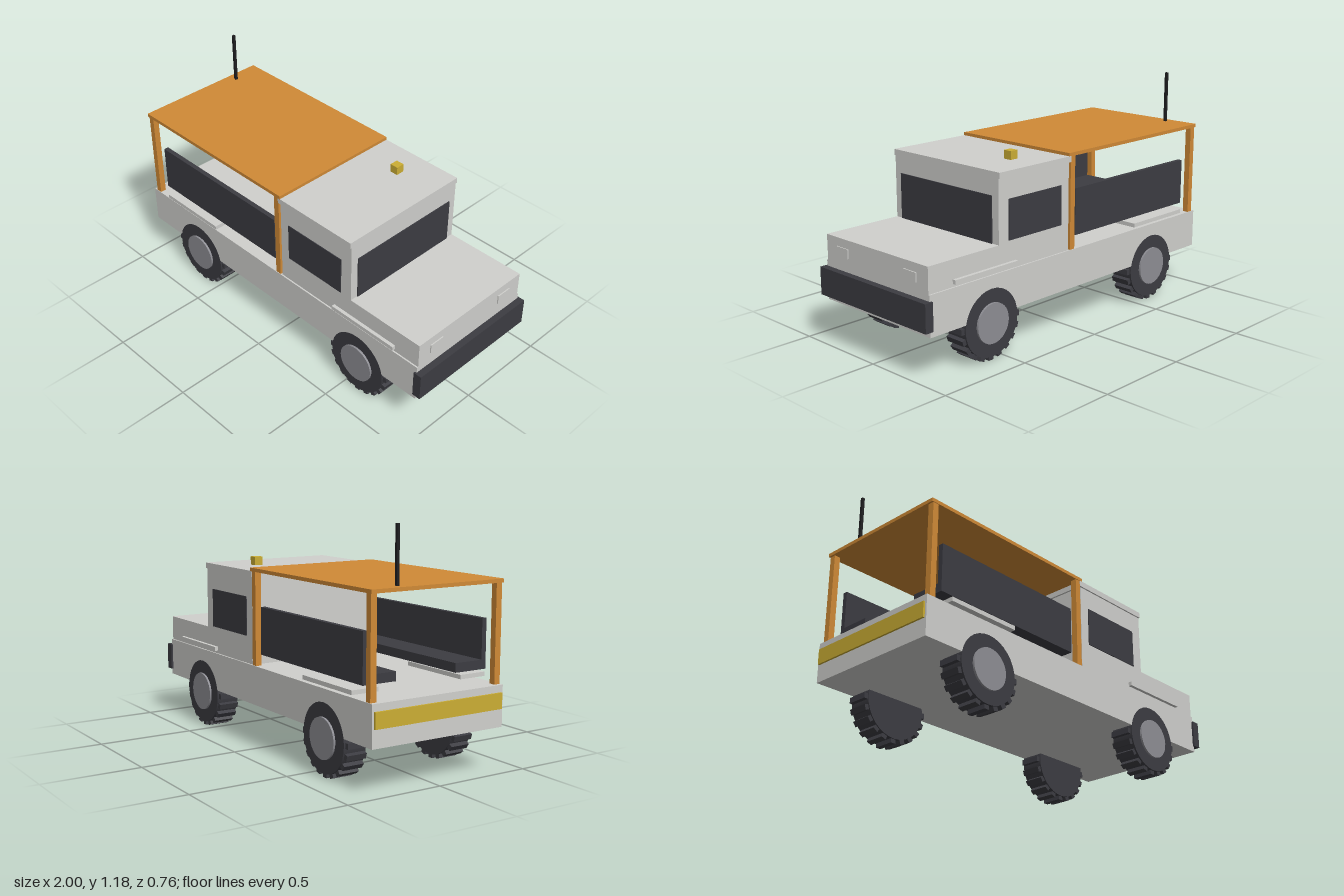
import * as THREE from 'three';

function paint(name, color) {
  const m = new THREE.MeshStandardMaterial({ color });
  m.name = name;
  return m;
}

export function createModel() {
  const truck = new THREE.Group();
  truck.name = 'safariTruck';

  const grey = paint('body grey', 0xd0d0cd);
  const orange = paint('canopy orange', 0xd08a36);
  const dark = paint('dark charcoal', 0x3c3c42);
  const rimGrey = paint('rim grey', 0x8e8e94);
  const yellow = paint('yellow', 0xccae34);
  const black = paint('antenna black', 0x1e1e20);

  // Box given by its extents on each axis
  function box(name, mat, x, y, z, parent = truck) {
    const mesh = new THREE.Mesh(
      new THREE.BoxGeometry(x[1] - x[0], y[1] - y[0], z[1] - z[0]), mat);
    mesh.position.set((x[0] + x[1]) / 2, (y[0] + y[1]) / 2, (z[0] + z[1]) / 2);
    mesh.name = name;
    parent.add(mesh);
    return mesh;
  }
  // Matching pair on both sides; z is given for the +z side
  function pair(name, mat, x, y, z) {
    box(name, mat, x, y, z);
    box(name, mat, x, y, [-z[1], -z[0]]);
  }

  // Body, hood and cab
  box('lowerBody', grey, [-0.99, 0.965], [0.22, 0.42], [-0.37, 0.37]);
  box('hood', grey, [0.53, 0.965], [0.42, 0.55], [-0.362, 0.362]);
  box('cab', grey, [0.05, 0.53], [0.42, 0.865], [-0.362, 0.362]);
  box('cabRoof', grey, [0.04, 0.53], [0.865, 0.895], [-0.37, 0.37]);

  // Windows
  box('windshield', dark, [0.529, 0.535], [0.55, 0.78], [-0.32, 0.32]);
  pair('sideWindow', dark, [0.105, 0.465], [0.56, 0.76], [0.36, 0.366]);

  // Bumper, lights and rear stripe
  box('frontBumper', dark, [0.955, 1], [0.25, 0.39], [-0.38, 0.38]);
  pair('headlight', grey, [0.964, 0.971], [0.46, 0.507], [0.2, 0.285]);
  box('rearStripe', yellow, [-1, -0.99], [0.308, 0.385], [-0.36, 0.36]);
  box('beacon', yellow, [0.263, 0.308], [0.895, 0.938], [-0.222, -0.177]);

  // Canopy and its posts
  box('canopy', orange, [-0.98, 0.055], [0.893, 0.911], [-0.37, 0.37]);
  for (const x of [-0.955, 0.025]) {
    pair('canopyPost', orange, [x - 0.016, x + 0.016], [0.42, 0.893], [0.335, 0.367]);
  }
  box('antenna', black, [-0.937, -0.923], [0.911, 1.18], [-0.207, -0.193]);

  // Facing benches in the open rear
  pair('benchSeat', dark, [-0.89, -0.015], [0.48, 0.525], [0.17, 0.335]);
  pair('benchBack', dark, [-0.89, -0.015], [0.48, 0.72], [0.325, 0.35]);

  // Fender plates above the wheels
  for (const x of [-0.65, 0.62]) {
    pair('fender', grey, [x - 0.2, x + 0.2], [0.435, 0.456], [0.235, 0.38]);
  }

  // Wheels, built with the outer face towards +z
  const tireGeo = new THREE.CylinderGeometry(0.168, 0.168, 0.121, 32).rotateX(Math.PI / 2);
  const rimGeo = new THREE.CylinderGeometry(0.1, 0.1, 0.03, 32).rotateX(Math.PI / 2);
  const lugGeo = new THREE.BoxGeometry(0.028, 0.03, 0.107);
  const lugs = 20;
  function wheel(x, side) {
    const g = new THREE.Group();
    g.name = 'wheel';
    const tire = new THREE.Mesh(tireGeo, dark);
    tire.name = 'tire';
    const rim = new THREE.Mesh(rimGeo, rimGrey);
    rim.name = 'rim';
    rim.position.z = 0.056;
    g.add(tire, rim);
    for (let i = 0; i < lugs; i++) {
      const a = (i / lugs) * Math.PI * 2;
      const lug = new THREE.Mesh(lugGeo, dark);
      lug.name = 'treadLug';
      lug.position.set(Math.sin(a) * 0.173, Math.cos(a) * 0.173, -0.001);
      lug.rotation.z = -a;
      g.add(lug);
    }
    g.position.set(x, 0.188, side * 0.31);
    if (side < 0) g.rotation.y = Math.PI;
    truck.add(g);
  }
  for (const x of [-0.61, 0.585]) for (const side of [1, -1]) wheel(x, side);

  return truck;
}
